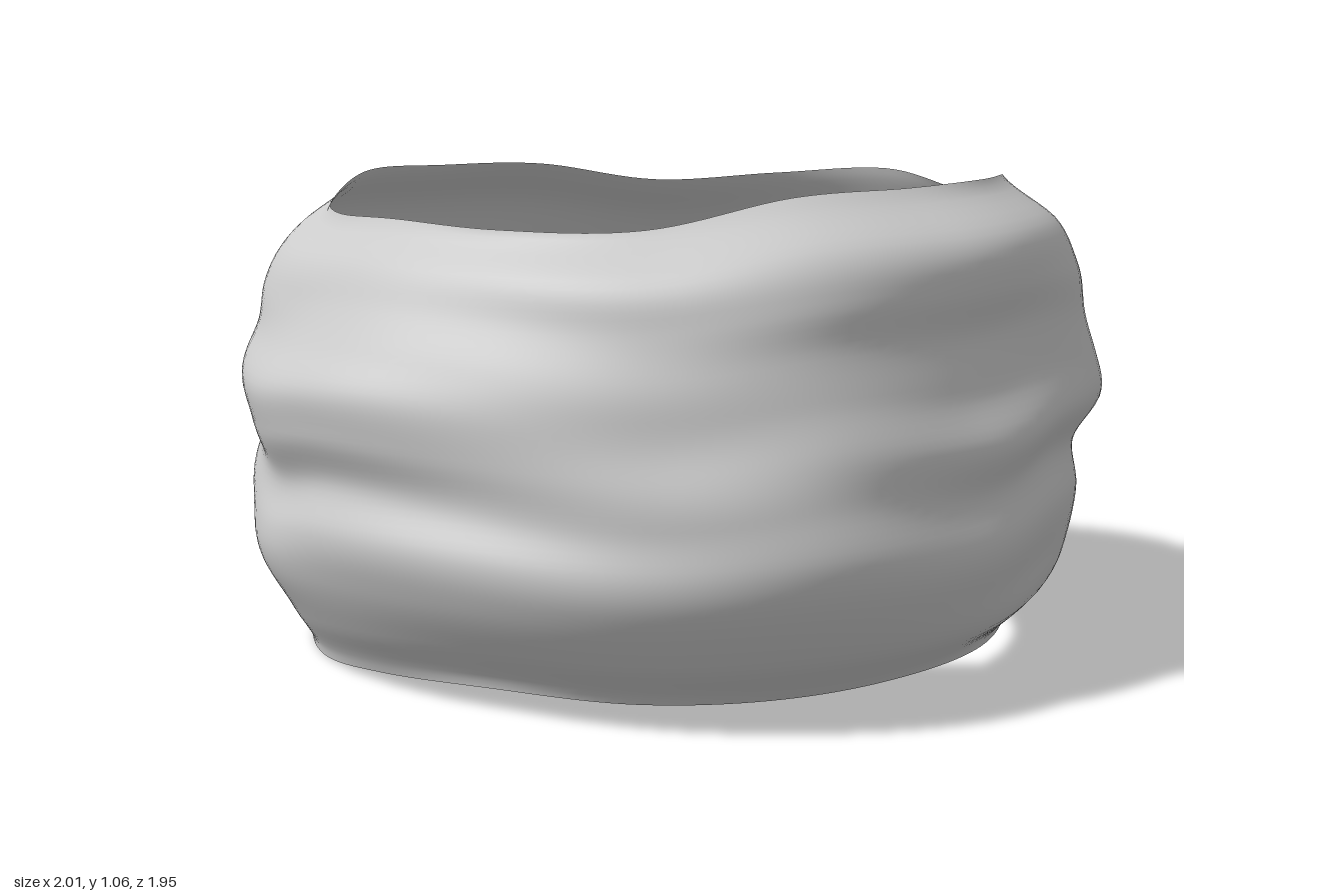
import * as THREE from 'three';

// Radii from bottom rim to top rim, one row per 45 degrees (from +x towards +z)
const PROFILES = [
  [0.80, 0.92, 0.97, 1.00, 0.97, 0.99, 0.94, 0.92, 0.94, 0.91, 0.76],
  [0.83, 0.93, 1.00, 1.03, 1.01, 0.99, 0.97, 0.95, 0.92, 0.88, 0.77],
  [0.79, 0.86, 0.93, 0.95, 0.92, 0.96, 0.98, 0.92, 0.87, 0.82, 0.74],
  [0.79, 0.86, 0.92, 0.94, 0.92, 0.95, 0.95, 0.92, 0.90, 0.85, 0.73],
  [0.80, 0.88, 0.95, 0.97, 0.94, 0.98, 1.00, 0.96, 0.94, 0.88, 0.76],
  [0.82, 0.90, 0.95, 0.97, 0.98, 1.00, 1.03, 1.03, 0.98, 0.91, 0.80],
  [0.83, 0.91, 0.95, 0.95, 0.95, 0.97, 0.95, 0.97, 0.94, 0.89, 0.83],
  [0.82, 0.92, 0.96, 0.97, 0.97, 1.02, 1.01, 0.98, 0.97, 0.92, 0.80],
];

// One value per 22.5 degrees: rim heights, belly scale, and lift of the folds
const TOP = [1.055, 1.045, 0.985, 0.98, 0.99, 0.985, 1.0, 1.05, 1.05, 1.045, 1.0, 1.02, 1.04, 1.0, 1.055, 1.06];
const BOTTOM = [0.035, 0.035, 0.04, 0.05, 0.03, 0.003, 0.01, 0.04, 0.06, 0.05, 0.05, 0.05, 0.05, 0.05, 0.045, 0.035];
const BELLY = [1, 1.025, 0.985, 0.97, 0.995, 0.975, 0.975, 0.985, 1, 1.025, 1.025, 1.005, 1, 1.04, 1.015, 0.96];
const LIFT = [0, 0.02, 0, 0.02, 0.05, 0.03, 0.08, 0.08, 0.04, 0, 0.02, 0, -0.02, 0.01, 0, 0.02];

// Smooth curve through evenly spaced values, closed or open; u runs 0..1
function spline(values, u, closed) {
  const n = values.length;
  const p = u * (closed ? n : n - 1);
  const i = closed ? Math.floor(p) : Math.min(Math.floor(p), n - 2);
  const f = p - i;
  const at = (k) => values[closed ? (k + n) % n : THREE.MathUtils.clamp(k, 0, n - 1)];
  const [a, b, c, d] = [at(i - 1), at(i), at(i + 1), at(i + 2)];
  return b + 0.5 * f * (c - a + f * (2 * a - 5 * b + 4 * c - d + f * (3 * (b - c) + d - a)));
}

// Thin wrinkled band, lofted as rings between the two rims
function createBand() {
  const around = 160, rows = 64;
  const positions = [], indices = [];
  for (let j = 0; j <= rows; j++) {
    const t = j / rows;
    const fade = Math.sin(Math.PI * t);
    for (let i = 0; i < around; i++) {
      const u = i / around;
      const angle = u * Math.PI * 2;
      // The folds climb and sink around the band
      const s = t - spline(LIFT, u, true) * fade * fade;
      const radii = PROFILES.map((profile) => spline(profile, s, false));
      const belly = THREE.MathUtils.lerp(1, spline(BELLY, u, true), Math.sqrt(Math.max(fade, 0)));
      // Small slanting creases
      const crease = fade * (0.004 * Math.sin(t * 30 + 1.5 * Math.sin(3 * angle + 0.6))
        + 0.004 * Math.sin(t * 14 - 7 * angle));
      const r = spline(radii, u, true) * belly + crease;
      const y = THREE.MathUtils.lerp(spline(BOTTOM, u, true), spline(TOP, u, true), t);
      positions.push(r * Math.cos(angle), y, r * Math.sin(angle));
      if (j < rows) {
        const a = j * around + i, b = j * around + (i + 1) % around;
        indices.push(a, a + around, b, b, a + around, b + around);
      }
    }
  }
  const geometry = new THREE.BufferGeometry();
  geometry.setAttribute('position', new THREE.Float32BufferAttribute(positions, 3));
  geometry.setIndex(indices);
  geometry.computeVertexNormals();
  return geometry;
}

export function createModel() {
  const group = new THREE.Group();
  group.name = 'wrinkledClothBand';
  const material = new THREE.MeshStandardMaterial({ color: 0xcccccc, side: THREE.DoubleSide });
  const band = new THREE.Mesh(createBand(), material);
  band.name = 'band';
  group.add(band);
  return group;
}
